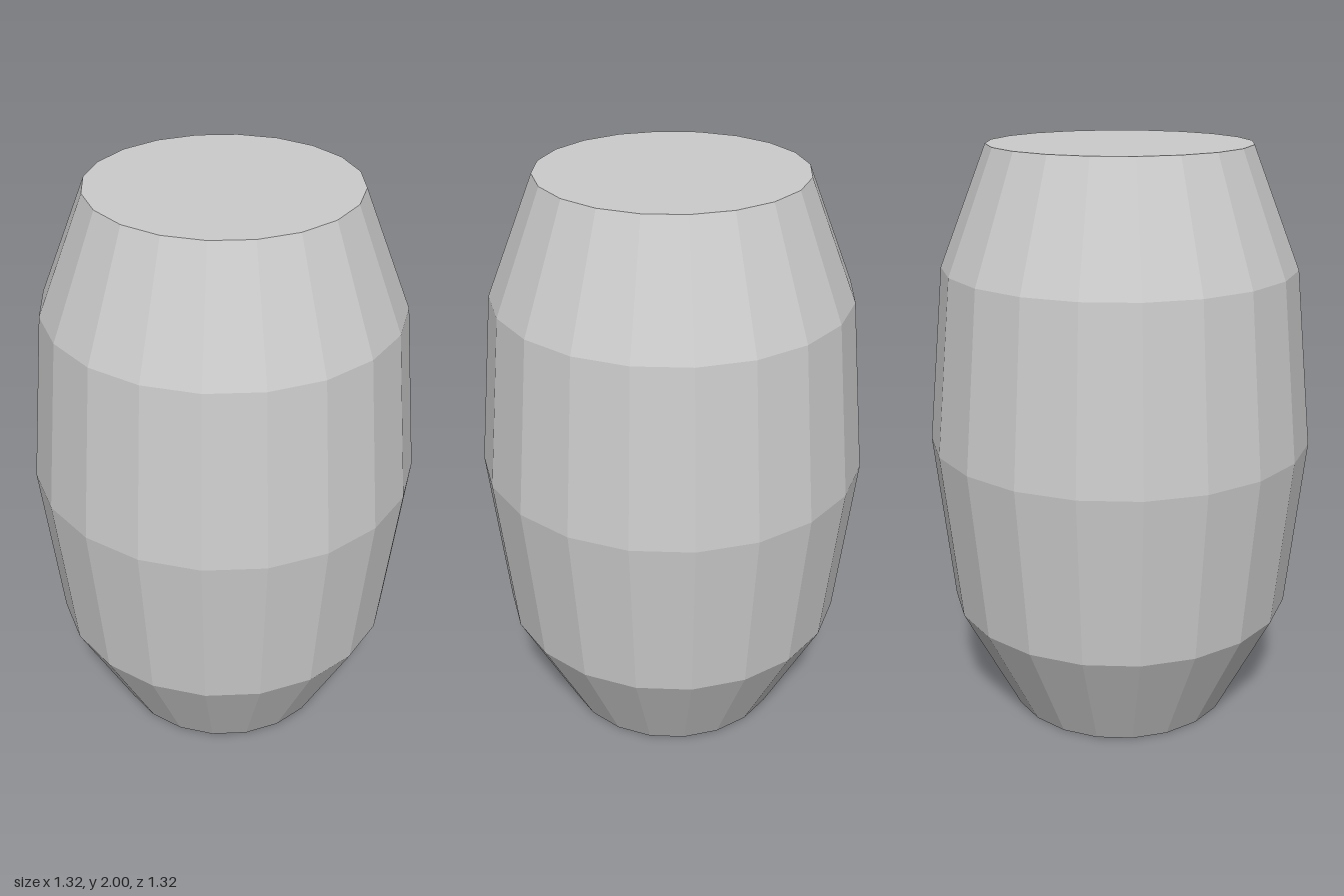
import * as THREE from 'three';

const SIDES = 20;

export function createModel() {
  const group = new THREE.Group();
  group.name = 'barrel';
  const grey = new THREE.MeshStandardMaterial({ color: 0xcccccc, flatShading: true });
  grey.name = 'light grey';

  // Faceted wall, [radius, height] from bottom to top
  const profile = [[0.4, 0], [0.6, 0.4], [0.66, 1], [0.6, 1.6], [0.44, 2]]
    .map(([r, y]) => new THREE.Vector2(r, y));
  const wallGeometry = new THREE.LatheGeometry(profile, SIDES).toNonIndexed();
  wallGeometry.computeVertexNormals();
  const wall = new THREE.Mesh(wallGeometry, grey);
  wall.name = 'barrelWall';
  group.add(wall);

  // Flat ends
  const addEnd = (name, radius, y, tilt) => {
    const end = new THREE.Mesh(new THREE.CircleGeometry(radius, SIDES), grey);
    end.name = name;
    end.rotation.x = tilt;
    end.position.y = y;
    group.add(end);
  };
  addEnd('lid', 0.44, 2, -Math.PI / 2);
  addEnd('base', 0.4, 0, Math.PI / 2);

  return group;
}
